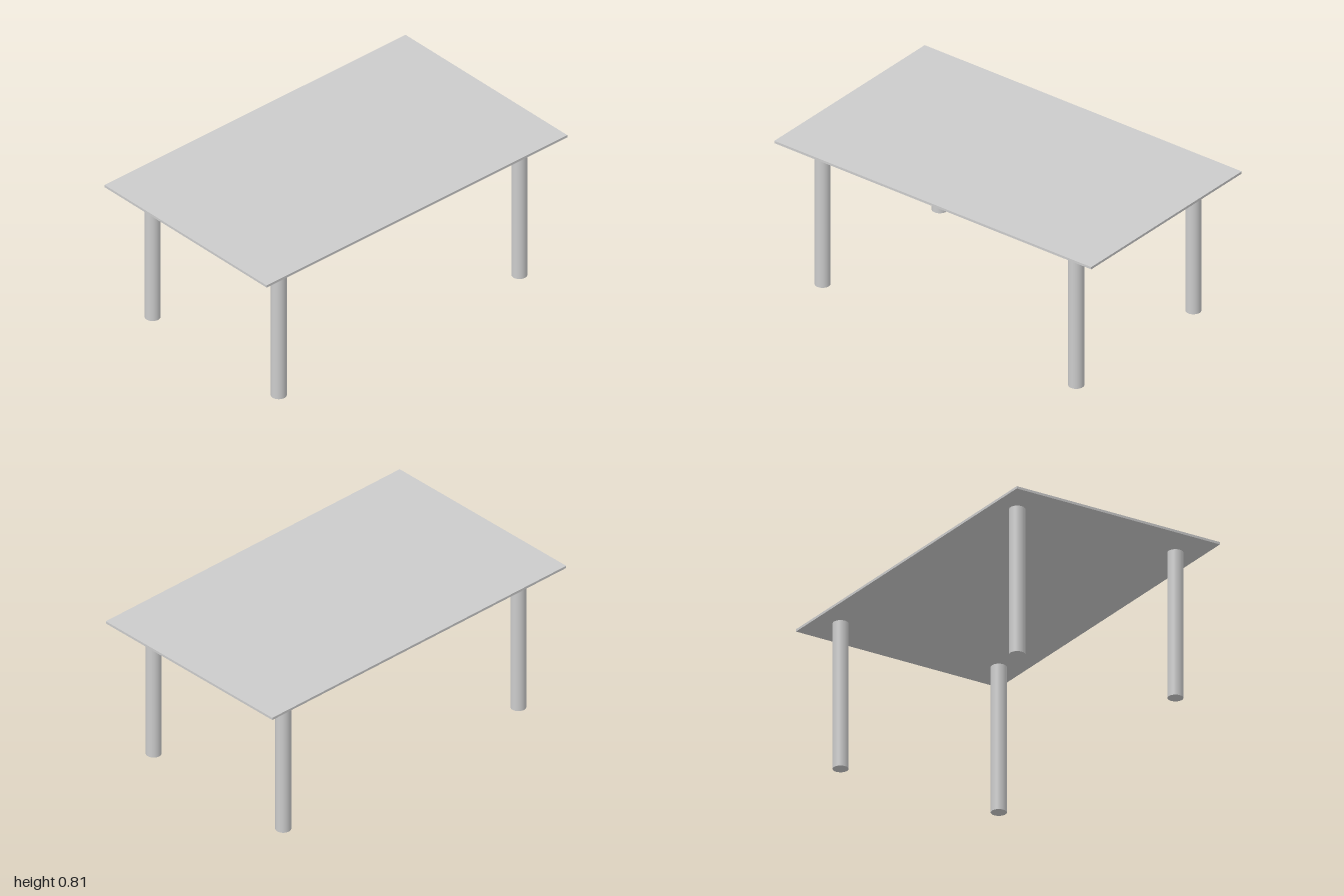
import * as THREE from 'three';

export function createModel() {
  const table = new THREE.Group();
  table.name = 'table';
  const material = new THREE.MeshStandardMaterial({ color: 0xcccccc });

  const height = 0.807;
  const thickness = 0.013;
  const legHeight = height - thickness;

  // Thin rectangular top
  const top = new THREE.Mesh(new THREE.BoxGeometry(2, thickness, 1.2), material);
  top.name = 'tableTop';
  top.position.y = height - thickness / 2;
  table.add(top);

  // Four round legs, inset from the corners
  const legGeometry = new THREE.CylinderGeometry(0.04, 0.04, legHeight, 48);
  for (const [zName, z] of [['front', 0.467], ['back', -0.467]]) {
    for (const [xName, x] of [['Left', 0.8], ['Right', -0.8]]) {
      const leg = new THREE.Mesh(legGeometry, material);
      leg.name = `${zName}${xName}Leg`;
      leg.position.set(x, legHeight / 2, z);
      table.add(leg);
    }
  }

  return table;
}
